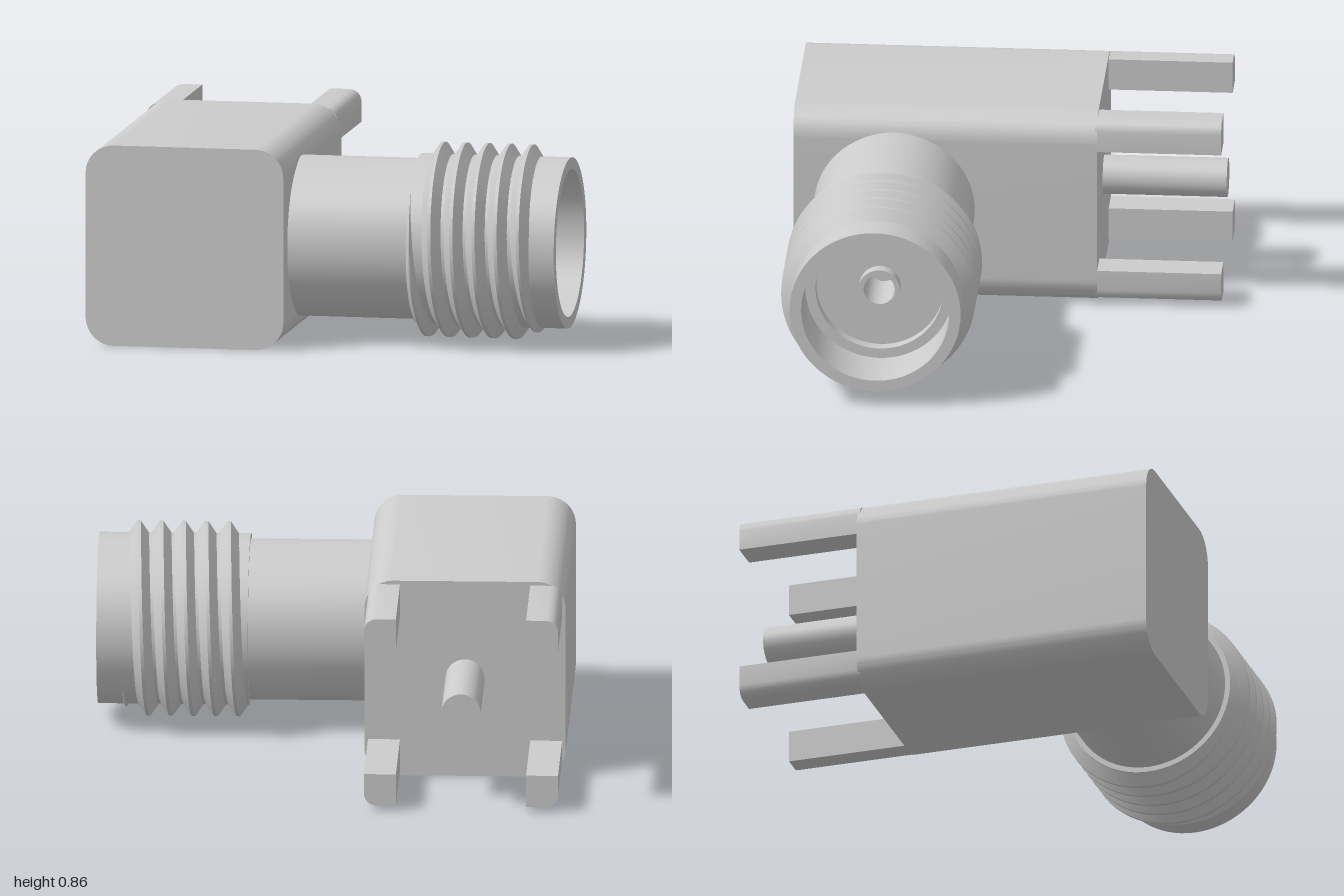
import * as THREE from 'three';
import { toCreasedNormals } from 'three/addons/utils/BufferGeometryUtils.js';

const material = new THREE.MeshStandardMaterial({ color: 0xcccccc });
const AXIS_Y = 0.43, AXIS_Z = 0.477;

function addMesh(parent, name, geometry) {
  const mesh = new THREE.Mesh(toCreasedNormals(geometry, 0.5), material);
  mesh.name = name;
  parent.add(mesh);
}

// Profile of [radius, x] points turned around the connector's x axis
function turned(points) {
  const g = new THREE.LatheGeometry(points.map(([r, x]) => new THREE.Vector2(r, x)), 72);
  return g.rotateZ(-Math.PI / 2).translate(0, AXIS_Y, AXIS_Z);
}

function roundedRect(w, h, r) {
  const s = new THREE.Shape(), x = w / 2 - r, y = h / 2 - r;
  s.absarc(x, y, r, 0, Math.PI / 2);
  s.absarc(-x, y, r, Math.PI / 2, Math.PI);
  s.absarc(-x, -y, r, Math.PI, Math.PI * 1.5);
  s.absarc(x, -y, r, Math.PI * 1.5, Math.PI * 2);
  s.closePath();
  return s;
}

// Square leg section with its outer corner rounded; sx and sy pick the corner
function legShape(sx, sy) {
  const s = new THREE.Shape();
  s.moveTo(0.275 * sx, 0.272 * sy);
  s.lineTo(0.41 * sx, 0.272 * sy);
  s.lineTo(0.41 * sx, 0.36 * sy);
  s.quadraticCurveTo(0.405 * sx, 0.405 * sy, 0.36 * sx, 0.41 * sy);
  s.lineTo(0.275 * sx, 0.41 * sy);
  s.closePath();
  return s;
}

// V-shaped ridge swept along a helix, fading out at both ends
function threadGeometry() {
  const pitch = 0.095, root = 0.358, depth = 0.054, perTurn = 64;
  const xStart = 0.365, xEnd = 0.895;
  const profile = [[-0.044, 0], [-0.007, 1], [0.007, 1], [0.044, 0]];
  const n = Math.round((xEnd - xStart) / pitch * perTurn);
  const pos = [], index = [];
  for (let i = 0; i <= n; i++) {
    const x = xStart + (xEnd - xStart) * i / n;
    const a = (x - 0.45) / pitch * Math.PI * 2;
    const fade = Math.min(1, (x - xStart) / 0.035, (xEnd - x) / 0.045);
    for (const [dx, h] of profile) {
      const r = root + depth * h * fade;
      pos.push(Math.max(0.36, x + dx * fade), AXIS_Y + r * Math.cos(a), AXIS_Z + r * Math.sin(a));
    }
    if (i === n) break;
    for (let j = 0; j < 3; j++) {
      const p = i * 4 + j, q = p + 4;
      index.push(p, q, p + 1, p + 1, q, q + 1);
    }
  }
  const g = new THREE.BufferGeometry();
  g.setAttribute('position', new THREE.Float32BufferAttribute(pos, 3));
  g.setIndex(index);
  return g;
}

export function createModel() {
  const model = new THREE.Group();
  model.name = 'rightAngleConnector';

  // Block body with rounded long edges
  const body = new THREE.ExtrudeGeometry(roundedRect(0.85, 0.856, 0.12),
    { depth: 1.285, bevelEnabled: false, curveSegments: 12 });
  addMesh(model, 'body', body.translate(-0.575, 0.428, -0.38));

  // Four mounting legs at the corners of the body
  const legs = new THREE.Group();
  legs.name = 'mountingLegs';
  model.add(legs);
  for (const sx of [-1, 1]) for (const sy of [-1, 1]) {
    const leg = new THREE.ExtrudeGeometry(legShape(sx, sy),
      { depth: 0.535, bevelEnabled: false, curveSegments: 6 });
    addMesh(legs, 'mountingLeg', leg.translate(-0.575, 0.43, -0.905));
  }

  // Round signal pin
  const pin = new THREE.CylinderGeometry(0.083, 0.083, 0.535, 40).rotateX(Math.PI / 2);
  addMesh(model, 'signalPin', pin.translate(-0.575, 0.43, -0.6375));

  // Threaded barrel with its stepped open bore
  const connector = new THREE.Group();
  connector.name = 'coaxialConnector';
  model.add(connector);
  addMesh(connector, 'barrel', turned([[0.34, -0.16], [0.34, 0.36], [0.362, 0.36],
    [0.362, 1], [0.313, 1], [0.313, 0.75], [0.27, 0.75], [0.27, 0.69]]));
  addMesh(connector, 'thread', threadGeometry());

  // Recessed insulator disc and hollow centre contact
  addMesh(connector, 'insulator', turned([[0.27, 0.7], [0.085, 0.7]]));
  addMesh(connector, 'centreContact', turned([[0.087, 0.69], [0.087, 0.75],
    [0.066, 0.75], [0.066, 0.5], [0, 0.5]]));

  return model;
}
